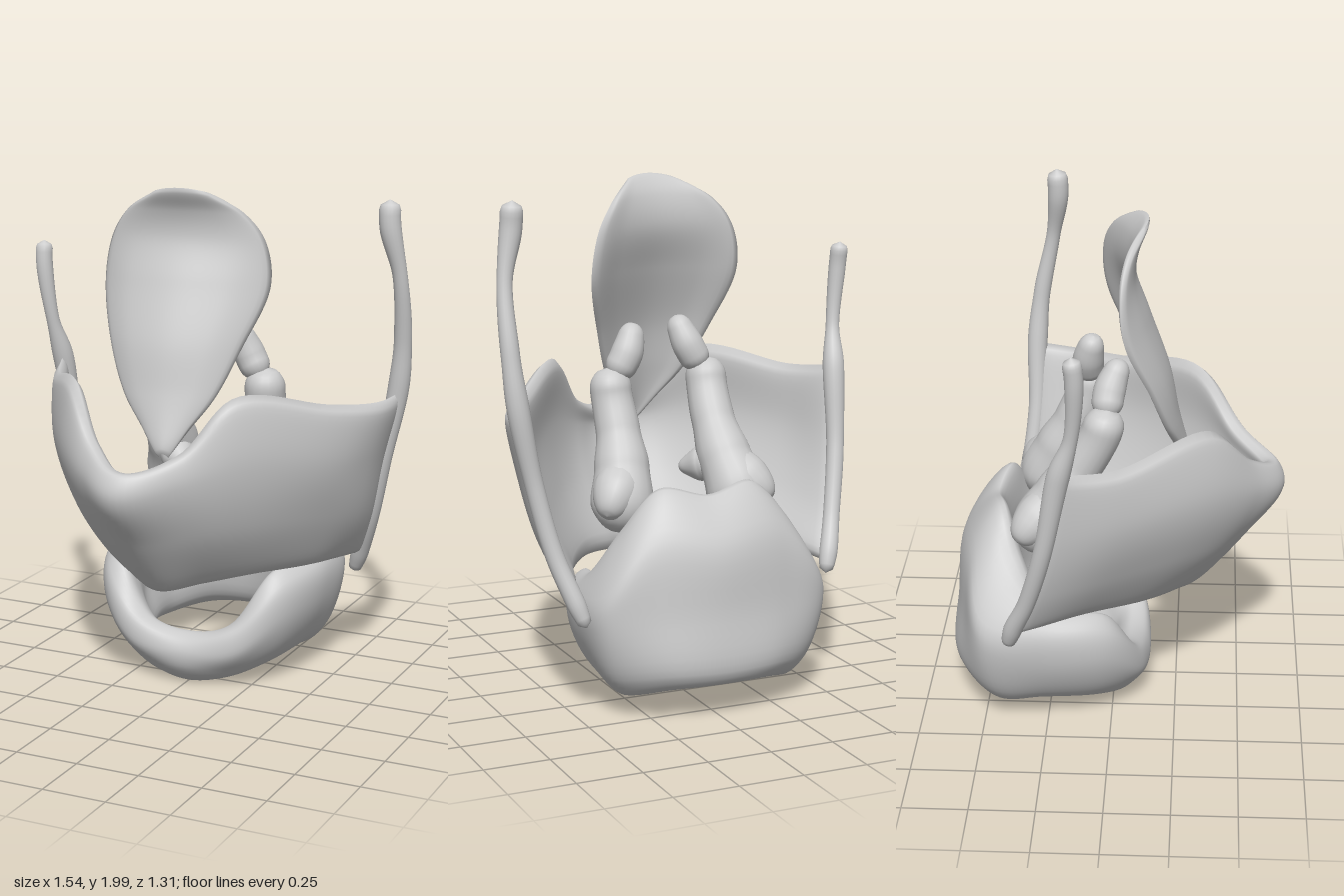
import * as THREE from 'three';

const material = new THREE.MeshStandardMaterial({ color: 0xcccccc, side: THREE.DoubleSide });
const V = (p) => new THREE.Vector3(p[0], p[1], p[2]);
const spline = (pts, closed = false) => new THREE.CatmullRomCurve3(pts, closed, 'centripetal');

// Joins cross-section rings into one smooth surface
function skin(rings, closed) {
  const n = rings.length, m = rings[0].length, index = [];
  for (let i = 0; i < (closed ? n : n - 1); i++) {
    for (let k = 0; k < m; k++) {
      const i2 = (i + 1) % n, k2 = (k + 1) % m;
      const a = i * m + k, b = i2 * m + k, c = i2 * m + k2, d = i * m + k2;
      index.push(a, b, c, a, c, d);
    }
  }
  const geometry = new THREE.BufferGeometry().setFromPoints(rings.flat());
  geometry.setIndex(index);
  geometry.computeVertexNormals();
  return geometry;
}

// Smooth grid of points through coarse columns; closed makes both directions loop
function refine(columns, closed, N, M) {
  const sample = (pts, count) => {
    const s = spline(pts, closed);
    return Array.from({ length: closed ? count : count + 1 }, (_, i) => s.getPoint(i / count));
  };
  const fine = columns.map((c) => sample(c.map(V), M));
  const lines = fine[0].map((_, j) => sample(fine.map((c) => c[j]), N));
  return lines[0].map((_, i) => lines.map((line) => line[i]));
}

// Curved plate with rounded rims, thickened about a coarse grid of columns
function plate(columns, thickness, N = 80, M = 32) {
  const grid = refine(columns, false, N, M);
  const taper = (t) => Math.sqrt(Math.max(0, 1 - Math.abs(2 * t - 1) ** 10));
  return skin(grid.map((row, i) => Array.from({ length: 2 * M }, (_, k) => {
    const j = k <= M ? k : 2 * M - k;
    const du = grid[Math.min(i + 1, N)][j].clone().sub(grid[Math.max(i - 1, 0)][j]);
    const dv = row[Math.min(j + 1, M)].clone().sub(row[Math.max(j - 1, 0)]);
    const h = (thickness / 2) * taper(j / M) * taper(i / N);
    return row[j].clone().addScaledVector(du.cross(dv).normalize(), k <= M ? h : -h);
  })), false);
}

// Round-ended tube through points [x, y, z, radius]
function rod(points, N = 48, M = 18) {
  const curve = spline(points.map(V));
  const frames = curve.computeFrenetFrames(N);
  const first = V(points[0]), last = V(points.at(-1));
  const rings = [];
  for (let i = 0; i <= N; i++) {
    const p = curve.getPointAt(i / N);
    const f = curve.getUtoTmapping(i / N) * (points.length - 1);
    const a = Math.min(Math.floor(f), points.length - 2);
    let r = THREE.MathUtils.lerp(points[a][3], points[a + 1][3], THREE.MathUtils.smoothstep(f - a, 0, 1));
    const d = Math.min(p.distanceTo(first), p.distanceTo(last));
    if (d < r) r *= Math.sqrt(1 - (1 - d / r) ** 2);
    rings.push(Array.from({ length: M }, (_, k) => {
      const t = (k / M) * Math.PI * 2;
      return p.clone()
        .addScaledVector(frames.normals[i], Math.cos(t) * r)
        .addScaledVector(frames.binormals[i], -Math.sin(t) * r);
    }).reverse());
  }
  return skin(rings, false);
}

export function createModel() {
  const model = new THREE.Group();
  const add = (name, geometry) => {
    const mesh = new THREE.Mesh(geometry, material);
    mesh.name = name;
    model.add(mesh);
  };

  // Shield: V-shaped plate, columns run top to bottom, right back to left back
  add('shieldPlate', plate([
    [[-0.69, 1.24, -0.18], [-0.665, 0.94, -0.23], [-0.62, 0.7, -0.3], [-0.56, 0.5, -0.37]],
    [[-0.59, 1.22, 0.03], [-0.585, 0.97, 0.02], [-0.53, 0.75, -0.04], [-0.44, 0.53, -0.14]],
    [[-0.33, 1.265, 0.36], [-0.37, 1.0, 0.36], [-0.35, 0.77, 0.27], [-0.29, 0.51, 0.09]],
    [[-0.17, 1.08, 0.51], [-0.19, 0.95, 0.53], [-0.19, 0.74, 0.42], [-0.14, 0.48, 0.21]],
    [[-0.01, 1.0, 0.6], [-0.02, 0.91, 0.63], [-0.01, 0.71, 0.49], [0, 0.455, 0.29]],
    [[0.16, 1.06, 0.48], [0.17, 0.95, 0.49], [0.18, 0.74, 0.39], [0.13, 0.48, 0.21]],
    [[0.31, 1.255, 0.32], [0.335, 1.0, 0.32], [0.33, 0.76, 0.24], [0.28, 0.5, 0.08]],
    [[0.56, 1.19, 0], [0.55, 0.96, 0], [0.51, 0.74, -0.06], [0.425, 0.495, -0.14]],
    [[0.68, 1.17, -0.19], [0.63, 0.95, -0.19], [0.57, 0.7, -0.23], [0.475, 0.49, -0.29]],
    [[0.72, 1.18, -0.38], [0.65, 0.92, -0.37], [0.595, 0.67, -0.4], [0.535, 0.48, -0.44]],
  ], 0.07));

  // Horns, each continuing down the back rim of the shield
  add('leftHorn', rod([
    [0.69, 1.945, -0.27, 0.042], [0.695, 1.84, -0.265, 0.042], [0.73, 1.65, -0.29, 0.029],
    [0.73, 1.4, -0.34, 0.035], [0.71, 1.2, -0.36, 0.042], [0.65, 0.9, -0.365, 0.035],
    [0.59, 0.65, -0.4, 0.035], [0.53, 0.48, -0.45, 0.036], [0.495, 0.385, -0.475, 0.026],
  ], 80));
  add('rightHorn', rod([
    [-0.735, 1.72, -0.12, 0.035], [-0.73, 1.62, -0.11, 0.034], [-0.705, 1.4, -0.125, 0.027],
    [-0.685, 1.23, -0.175, 0.043], [-0.665, 0.92, -0.235, 0.035], [-0.615, 0.67, -0.305, 0.033],
    [-0.575, 0.54, -0.36, 0.036], [-0.55, 0.455, -0.385, 0.028],
  ], 80));

  // Ring: each section loops top, outside, bottom, inside; low in front, tall behind
  const front = [
    [0, 0.22, 0.06], [0, 0.2, 0.12], [0, 0.15, 0.145], [0, 0.08, 0.13],
    [0, 0.01, 0.055], [0, 0.06, 0], [0, 0.13, -0.005], [0, 0.19, 0.02],
  ];
  const back = [
    [0, 0.84, -0.46], [0, 0.68, -0.6], [0, 0.42, -0.63], [0, 0.2, -0.645],
    [0, 0.14, -0.6], [0, 0.18, -0.53], [0, 0.4, -0.48], [0, 0.68, -0.425],
  ];
  const half = [
    [[0.18, 0.27, 0.06], [0.21, 0.26, 0.11], [0.22, 0.17, 0.12], [0.19, 0.09, 0.08],
      [0.16, 0.04, 0.03], [0.12, 0.08, -0.02], [0.13, 0.16, -0.01], [0.15, 0.23, 0.02]],
    [[0.31, 0.47, -0.02], [0.37, 0.42, 0], [0.385, 0.3, -0.01], [0.33, 0.15, -0.03],
      [0.27, 0.08, -0.08], [0.22, 0.12, -0.12], [0.25, 0.25, -0.1], [0.27, 0.38, -0.06]],
    [[0.37, 0.54, -0.25], [0.45, 0.46, -0.25], [0.45, 0.32, -0.25], [0.385, 0.16, -0.26],
      [0.32, 0.1, -0.27], [0.27, 0.14, -0.25], [0.3, 0.3, -0.22], [0.3, 0.45, -0.21]],
    [[0.3, 0.72, -0.36], [0.43, 0.5, -0.49], [0.44, 0.38, -0.5], [0.39, 0.17, -0.47],
      [0.32, 0.09, -0.43], [0.27, 0.14, -0.4], [0.27, 0.35, -0.36], [0.25, 0.55, -0.32]],
    [[0.18, 0.87, -0.42], [0.24, 0.7, -0.55], [0.25, 0.42, -0.59], [0.22, 0.2, -0.61],
      [0.18, 0.13, -0.56], [0.16, 0.18, -0.49], [0.15, 0.4, -0.44], [0.15, 0.7, -0.39]],
  ];
  const rightHalf = half.map((section) => section.map(([x, y, z]) => [-x * 1.08, y, z]));
  add('baseRing', skin(refine([front, ...rightHalf, back, ...half.reverse()], true, 108, 48), true));

  // Leaf: spoon-shaped flap, rows of [height, half width, centre z, edge z]
  const rows = [
    [1.0, 0.02, 0.29, 0.28], [1.1, 0.09, 0.26, 0.235], [1.22, 0.18, 0.23, 0.18], [1.4, 0.26, 0.195, 0.105],
    [1.63, 0.33, 0.115, 0.0], [1.8, 0.305, 0.06, -0.01], [1.91, 0.23, 0.075, 0.02], [1.995, 0.1, 0.125, 0.1],
  ];
  add('leafFlap', plate(rows.map(([y, w, zc, ze]) => [-1, -0.55, 0, 0.55, 1].map((s) => {
    const t = s * s;
    return [s * w - 0.035 * Math.min(1, w * 4), y - 0.015 * t, zc + (ze - zc) * t - 0.15 * s * w];
  })), 0.035));

  // Pair of small pillars with side processes and blunt caps
  for (const [side, name, lean, inward] of [[1, 'left', 0, 0], [-1, 'right', 0.085, 0.055]]) {
    const place = (pts) => pts.map(([x, y, z, r]) => [
      side * (x - inward), y, z + lean * Math.max(0, (y - 0.75) / 0.5), r,
    ]);
    add(name + 'Pillar', rod(place([
      [0.27, 0.68, -0.28, 0.1], [0.27, 0.8, -0.28, 0.12], [0.25, 0.92, -0.23, 0.105],
      [0.24, 1.05, -0.17, 0.085], [0.245, 1.18, -0.12, 0.08], [0.25, 1.285, -0.11, 0.08],
    ])));
    add(name + 'OuterProcess', rod(place([
      [0.24, 0.92, -0.23, 0.08], [0.3, 0.85, -0.3, 0.09], [0.37, 0.77, -0.37, 0.06],
    ])));
    add(name + 'FrontProcess', rod(place([
      [0.24, 0.9, -0.22, 0.08], [0.19, 0.88, -0.15, 0.07], [0.12, 0.86, -0.08, 0.03],
    ])));
    add(name + 'Cap', rod(place([
      [0.23, 1.24, -0.11, 0.06], [0.18, 1.33, -0.115, 0.062], [0.14, 1.445, -0.09, 0.045],
    ])));
  }
  return model;
}
